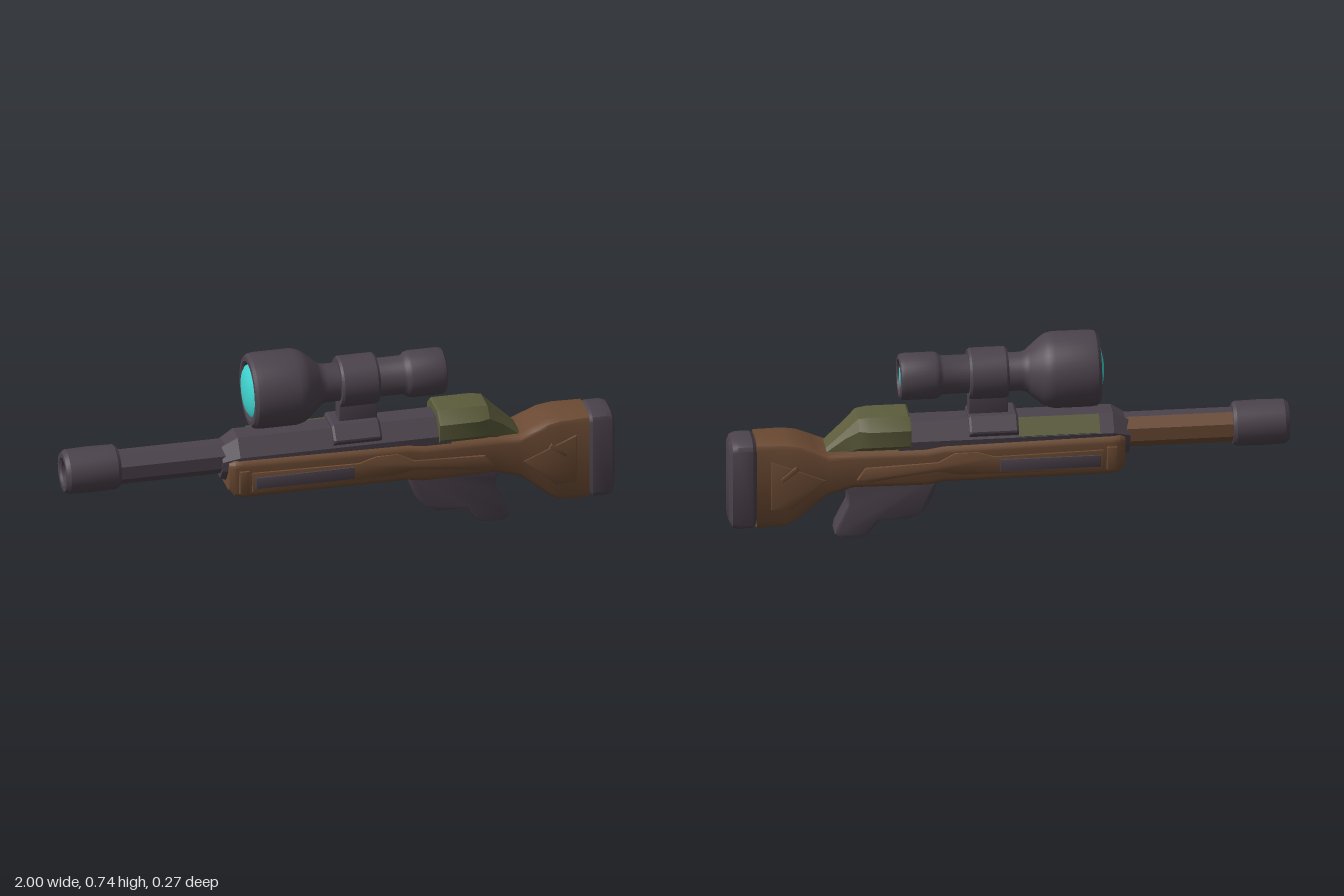
import * as THREE from 'three';
import { toCreasedNormals } from 'three/addons/utils/BufferGeometryUtils.js';

const material = (name, color) => {
  const m = new THREE.MeshStandardMaterial({ color });
  m.name = name;
  return m;
};

// Closed ring in the zy plane with rounded (n > 1) or chamfered (n = 1) corners
function section([x, bot, top, wTop, wBot, cz, cy], n) {
  const ring = [];
  const corner = (w, y, sz, sy, from) => {
    for (let i = 0; i <= n; i++) {
      const a = from - (i / n) * Math.PI / 2;
      ring.push([x, y - sy * cy + Math.sin(a) * cy, w - sz * cz + Math.cos(a) * cz]);
    }
  };
  corner(wTop, top, 1, 1, Math.PI / 2);
  corner(wBot, bot, 1, -1, 0);
  corner(-wBot, bot, -1, -1, -Math.PI / 2);
  corner(-wTop, top, -1, 1, -Math.PI);
  return ring;
}

// Capped loft along x; each station is [x, bottom, top, halfTop, halfBottom, cornerZ, cornerY]
function loft(stations, n = 3, crease = 0.6) {
  const rings = stations.map((s) => section(s, n));
  const k = rings[0].length, last = (rings.length - 1) * k, index = [];
  for (let i = 0; i < rings.length - 1; i++) {
    for (let j = 0; j < k; j++) {
      const a = i * k + j, b = i * k + (j + 1) % k;
      index.push(a, b, b + k, a, b + k, a + k);
    }
  }
  for (let j = 1; j < k - 1; j++) index.push(0, j + 1, j, last, last + j, last + j + 1);
  const g = new THREE.BufferGeometry();
  g.setAttribute('position', new THREE.Float32BufferAttribute(rings.flat(2), 3));
  g.setIndex(index);
  return toCreasedNormals(g, crease);
}

// Turned part along x from [radius, x] points
function turned(points, sides = 32) {
  const g = new THREE.LatheGeometry(points.map(([r, x]) => new THREE.Vector2(r, x)), sides);
  return toCreasedNormals(g.rotateZ(-Math.PI / 2), 0.5);
}

// Side outline extruded symmetrically through z
function slab(points, halfWidth, bevel, hole) {
  const shape = new THREE.Shape(points.map((p) => new THREE.Vector2(...p)));
  if (hole) shape.holes.push(new THREE.Path(hole.map((p) => new THREE.Vector2(...p))));
  const depth = 2 * (halfWidth - bevel);
  const g = new THREE.ExtrudeGeometry(shape, {
    depth, bevelEnabled: true, bevelSize: bevel, bevelThickness: bevel, bevelOffset: -bevel, bevelSegments: 2,
  });
  return toCreasedNormals(g.translate(0, 0, -depth / 2), 0.6);
}

const rect = (x0, x1, y0, y1) => [[x0, y0], [x1, y0], [x1, y1], [x0, y1]];

export function createModel() {
  const model = new THREE.Group();
  const metal = material('dark metal', 0x4c434c);
  const wood = material('brown wood', 0x6b4a33);
  const olive = material('olive', 0x5c5c3c);
  const glass = material('cyan glass', 0x40d4d0);
  const add = (name, geometry, mat) => {
    const mesh = new THREE.Mesh(geometry, mat);
    mesh.name = name;
    model.add(mesh);
    return mesh;
  };

  // Eight-sided barrel: dark on the front half, wood on the back half
  const side = (start) => {
    const g = new THREE.CylinderGeometry(0.062, 0.062, 0.45, 4, 1, true, start, Math.PI);
    return toCreasedNormals(g.rotateZ(Math.PI / 2).translate(-0.595, 0.357, 0), 0.5);
  };
  add('barrelBack', side(Math.PI * 0.625), wood);
  add('barrelFront', side(Math.PI * 1.625), metal);
  add('muzzle', turned([[0, -0.94], [0.042, -0.94], [0.045, -0.992], [0.052, -1], [0.07, -1], [0.08, -0.985],
    [0.082, -0.9], [0.08, -0.812], [0.072, -0.8], [0, -0.8]], 24).translate(0, 0.36, 0), metal);

  // Receiver with chamfered top
  add('receiver', loft([
    [-0.43, 0.28, 0.405, 0.066, 0.06, 0.035, 0.045],
    [-0.37, 0.26, 0.44, 0.085, 0.08, 0.045, 0.06],
    [0.4, 0.26, 0.44, 0.085, 0.08, 0.045, 0.06],
  ], 1, 0.4), metal);
  const patch = add('receiverPatch', new THREE.BoxGeometry(0.29, 0.008, 0.07), olive);
  patch.position.set(-0.175, 0.411, -0.0635);
  patch.rotation.x = -0.927;

  // Rear cover sloping down to the stock
  add('rearCover', loft([
    [0.355, 0.33, 0.465, 0.098, 0.095, 0.04, 0.035],
    [0.362, 0.33, 0.47, 0.1, 0.096, 0.045, 0.04],
    [0.5, 0.33, 0.47, 0.1, 0.096, 0.045, 0.04],
    [0.54, 0.33, 0.465, 0.085, 0.085, 0.035, 0.035],
    [0.59, 0.32, 0.415, 0.065, 0.065, 0.02, 0.02],
    [0.655, 0.31, 0.355, 0.055, 0.055, 0.015, 0.012],
  ], 1, 0.4), olive);

  // Stock from fore-end to butt
  add('stock', loft([
    [-0.41, 0.25, 0.36, 0.086, 0.08, 0.02, 0.02],
    [-0.39, 0.228, 0.37, 0.098, 0.09, 0.022, 0.022],
    [-0.36, 0.222, 0.37, 0.1, 0.092, 0.022, 0.022],
    [0.24, 0.22, 0.36, 0.1, 0.092, 0.022, 0.022],
    [0.3, 0.21, 0.35, 0.1, 0.092, 0.022, 0.022],
    [0.56, 0.212, 0.35, 0.097, 0.09, 0.025, 0.022],
    [0.65, 0.185, 0.345, 0.094, 0.088, 0.03, 0.022],
    [0.7, 0.145, 0.368, 0.092, 0.086, 0.035, 0.022],
    [0.75, 0.1, 0.39, 0.09, 0.085, 0.04, 0.022],
    [0.8, 0.068, 0.4, 0.088, 0.084, 0.045, 0.025],
    [0.905, 0.062, 0.402, 0.083, 0.081, 0.05, 0.028],
  ]), wood);
  add('buttPad', loft([
    [0.9, 0.08, 0.385, 0.07, 0.07, 0.045, 0.025],
    [0.918, 0.062, 0.4, 0.081, 0.081, 0.055, 0.03],
    [0.97, 0.06, 0.4, 0.081, 0.081, 0.055, 0.03],
    [0.99, 0.066, 0.394, 0.077, 0.077, 0.055, 0.03],
    [1, 0.085, 0.375, 0.062, 0.062, 0.05, 0.03],
  ]), metal);

  // Raised trim on both sides of the stock
  add('sidePanel', slab([[-0.33, 0.248], [0.19, 0.255], [0.26, 0.27], [0.4, 0.255], [0.5, 0.24], [0.55, 0.25],
    [0.52, 0.295], [0.26, 0.305], [0.2, 0.338], [0.12, 0.338], [0.06, 0.318], [-0.33, 0.325]], 0.105, 0.004), wood);
  add('sideBracket', slab(rect(-0.378, -0.342, 0.248, 0.335), 0.107, 0.005), wood);
  add('sideBar', slab(rect(-0.32, 0.04, 0.262, 0.308), 0.11, 0.004), metal);
  add('buttPanel', slab([[0.855, 0.145], [0.855, 0.33], [0.66, 0.25], [0.78, 0.145]], 0.093, 0.003), wood);
  add('buttSlot', slab([[0.755, 0.295], [0.815, 0.25], [0.82, 0.265], [0.765, 0.31]], 0.097, 0.003), wood);

  // Grip joined to the trigger guard
  add('gripAndGuard', slab(
    [[0.245, 0.235], [0.265, 0.18], [0.28, 0.13], [0.315, 0.085], [0.36, 0.066], [0.465, 0.064], [0.49, 0.03],
      [0.515, 0.006], [0.6, 0], [0.622, 0.02], [0.618, 0.045], [0.575, 0.13], [0.575, 0.17], [0.605, 0.235]],
    0.047, 0.01,
    [[0.315, 0.225], [0.322, 0.165], [0.365, 0.126], [0.445, 0.126], [0.475, 0.145], [0.465, 0.19], [0.46, 0.225]],
  ), metal);
  add('trigger', slab([[0.41, 0.24], [0.415, 0.19], [0.4, 0.165], [0.375, 0.155], [0.385, 0.142], [0.415, 0.15],
    [0.435, 0.175], [0.44, 0.24]], 0.02, 0.004), metal);

  // Sight tube, lenses and mount
  const axis = 0.6;
  add('scopeBody', turned([[0, -0.3], [0.098, -0.3], [0.101, -0.318], [0.108, -0.324], [0.124, -0.323], [0.134, -0.312],
    [0.137, -0.29], [0.137, -0.16], [0.131, -0.135], [0.118, -0.115], [0.085, -0.075], [0.074, -0.063], [0.069, -0.045],
    [0.069, 0.235], [0.073, 0.245], [0.08, 0.252], [0.084, 0.265], [0.084, 0.372], [0.08, 0.386], [0.072, 0.391],
    [0.062, 0.39], [0.057, 0.38], [0.057, 0.37], [0, 0.37]], 40).translate(0, axis, 0), metal);
  add('frontLens', turned([[0, -0.342], [0.04, -0.339], [0.075, -0.331], [0.093, -0.32], [0.098, -0.3]])
    .translate(0, axis, 0), glass);
  add('rearLens', turned([[0.058, 0.375], [0.05, 0.382], [0.025, 0.386], [0, 0.387]]).translate(0, axis, 0), glass);
  add('mountRing', turned([[0.06, 0.003], [0.086, 0.003], [0.092, 0.012], [0.092, 0.134], [0.086, 0.143], [0.06, 0.143]])
    .translate(0, axis, 0), metal);
  add('mountNeck', slab(rect(0.003, 0.143, 0.43, 0.56), 0.03, 0.005), metal);
  add('mountBase', loft([
    [-0.03, 0.36, 0.45, 0.088, 0.088, 0.035, 0.04],
    [-0.022, 0.36, 0.457, 0.094, 0.094, 0.04, 0.045],
    [0.138, 0.36, 0.457, 0.094, 0.094, 0.04, 0.045],
    [0.146, 0.36, 0.45, 0.088, 0.088, 0.035, 0.04],
  ], 1, 0.4), metal);

  return model;
}
